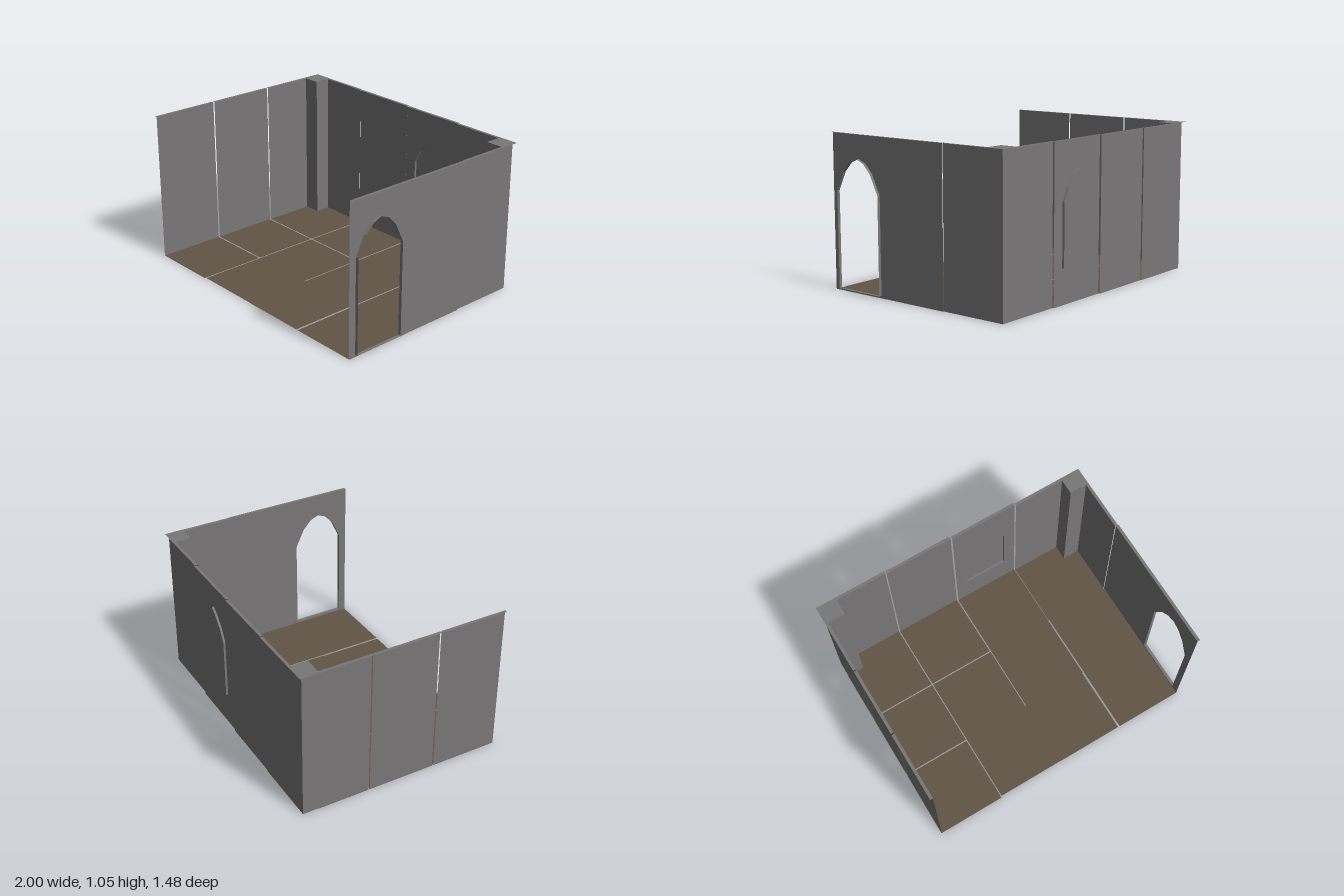
import * as THREE from 'three';

const HEIGHT = 1.05, LEDGE = 0.02;

export function createModel() {
  const room = new THREE.Group();
  room.name = 'room';
  const stone = new THREE.MeshStandardMaterial({ color: 0x797778, side: THREE.DoubleSide });
  stone.name = 'grey stone';
  const boards = new THREE.MeshStandardMaterial({ color: 0x625546, side: THREE.DoubleSide });
  boards.name = 'brown floor';

  const add = (parent, name, geometry, material) => {
    const mesh = new THREE.Mesh(geometry, material);
    mesh.name = name;
    parent.add(mesh);
    return mesh;
  };

  // Flat horizontal rectangle facing up
  const slab = (parent, name, x0, x1, z0, z1, y, material) => {
    const g = new THREE.PlaneGeometry(x1 - x0, z1 - z0);
    g.rotateX(-Math.PI / 2).translate((x0 + x1) / 2, y, (z0 + z1) / 2);
    return add(parent, name, g, material);
  };

  // Pointed arch outline, from half width, bottom and [x fraction, y] points of the right half
  const arch = (centre, half, bottom, side) => {
    const right = side.map(([f, y]) => new THREE.Vector2(centre + f * half, y));
    const left = side.slice(0, -1).reverse().map(([f, y]) => new THREE.Vector2(centre - f * half, y));
    return [new THREE.Vector2(centre - half, bottom), new THREE.Vector2(centre + half, bottom), ...right, ...left];
  };

  // Strip lining an opening, reaching outward from the wall
  const reveal = (outline, depth) => {
    const p = [];
    outline.forEach((a, i) => {
      const b = outline[(i + 1) % outline.length];
      p.push(a.x, a.y, 0, b.x, b.y, -depth, b.x, b.y, 0);
      p.push(a.x, a.y, 0, a.x, a.y, -depth, b.x, b.y, -depth);
    });
    const g = new THREE.BufferGeometry();
    g.setAttribute('position', new THREE.Float32BufferAttribute(p, 3));
    g.computeVertexNormals();
    return g;
  };

  // Thin wall panel facing inward, with a ledge along the top outside
  const wall = (name, u0, u1, distance, turn, opening) => {
    const group = new THREE.Group();
    group.name = name;
    const shape = new THREE.Shape([
      new THREE.Vector2(u0, 0), new THREE.Vector2(u1, 0),
      new THREE.Vector2(u1, HEIGHT), new THREE.Vector2(u0, HEIGHT),
    ]);
    if (opening) {
      shape.holes.push(new THREE.Path(opening.outline));
      add(group, opening.name + 'Reveal', reveal(opening.outline, opening.depth), stone);
      if (opening.filled) {
        const pane = add(group, opening.name + 'Pane', new THREE.ShapeGeometry(new THREE.Shape(opening.outline)), stone);
        pane.position.z = -opening.depth;
      }
    }
    add(group, 'panel', new THREE.ShapeGeometry(shape), stone);
    slab(group, 'topLedge', u0, u1, -LEDGE, 0, HEIGHT, stone);
    group.rotation.y = turn;
    group.position.set(-Math.sin(turn) * distance, 0, -Math.cos(turn) * distance);
    room.add(group);
  };

  const windowOpening = {
    name: 'window', depth: 0.015, filled: true,
    outline: arch(0.243, 0.154, 0.24, [[1, 0.665], [0.69, 0.755], [0.34, 0.82], [0, 0.86]]),
  };
  const doorOpening = {
    name: 'doorway', depth: 0.021, filled: false,
    outline: arch(0.492, 0.184, 0.015, [[1, 0.67], [0.66, 0.8], [0.33, 0.865], [0, 0.89]]),
  };

  // Back wall, each panel stepped slightly
  wall('backWall1', -0.982, -0.499, 0.722, 0);
  wall('backWall2', -0.492, -0.008, 0.717, 0);
  wall('backWall3', 0, 0.483, 0.709, 0, windowOpening);
  wall('backWall4', 0.487, 0.971, 0.7, 0);

  // Wall at -x (its local axis runs along -z)
  wall('rightWall1', 0.242, 0.722, 0.982, Math.PI / 2);
  wall('rightWall2', -0.245, 0.234, 0.982, Math.PI / 2);
  wall('rightWall3', -0.735, -0.254, 0.982, Math.PI / 2);

  // Wall at +x, with the doorway (its local axis runs along z)
  wall('leftWall1', -0.7, -0.23, 0.971, -Math.PI / 2);
  wall('leftWall2', -0.23, 0.728, 0.976, -Math.PI / 2, doorOpening);

  // Corner pillars: two inner faces and a cap
  for (const [side, inner, outer, front, back] of [[-1, 0.86, 0.982, -0.61, -0.722], [1, 0.85, 0.971, -0.59, -0.7]]) {
    const pillar = new THREE.Group();
    pillar.name = side < 0 ? 'rightPillar' : 'leftPillar';
    const face = new THREE.PlaneGeometry(outer - inner, HEIGHT);
    face.translate(side * (inner + outer) / 2, HEIGHT / 2, front);
    add(pillar, 'frontFace', face, stone);
    const flank = new THREE.PlaneGeometry(front - back, HEIGHT);
    flank.rotateY(-side * Math.PI / 2).translate(side * inner, HEIGHT / 2, (front + back) / 2);
    add(pillar, 'sideFace', flank, stone);
    const xs = [side * inner, side * (outer + LEDGE)].sort((a, b) => a - b);
    slab(pillar, 'cap', xs[0], xs[1], back - LEDGE, front, HEIGHT + 0.0005, stone);
    room.add(pillar);
  }

  // Floor tiles with narrow gaps; corner tiles leave out the pillar base
  const tiles = [
    [-0.86, -0.499, -0.722, -0.61], [-0.985, -0.499, -0.61, -0.242],
    [-0.985, -0.499, -0.234, 0.245], [-0.985, -0.499, 0.254, 0.735],
    [-0.492, -0.008, -0.717, -0.242], [-0.492, -0.006, -0.234, 0.25], [-0.492, -0.004, 0.25, 0.725],
    [0, 0.484, -0.709, -0.225], [0, 0.483, -0.225, 0.25], [-0.004, 0.478, 0.25, 0.727],
    [0.487, 0.85, -0.7, -0.59], [0.487, 0.971, -0.59, -0.225],
    [0.492, 0.978, -0.225, 0.25], [0.491, 0.98, 0.25, 0.728],
  ];
  tiles.forEach(([x0, x1, z0, z1], i) => slab(room, 'floorTile' + (i + 1), x0, x1, z0, z1, 0, boards));

  return room;
}
